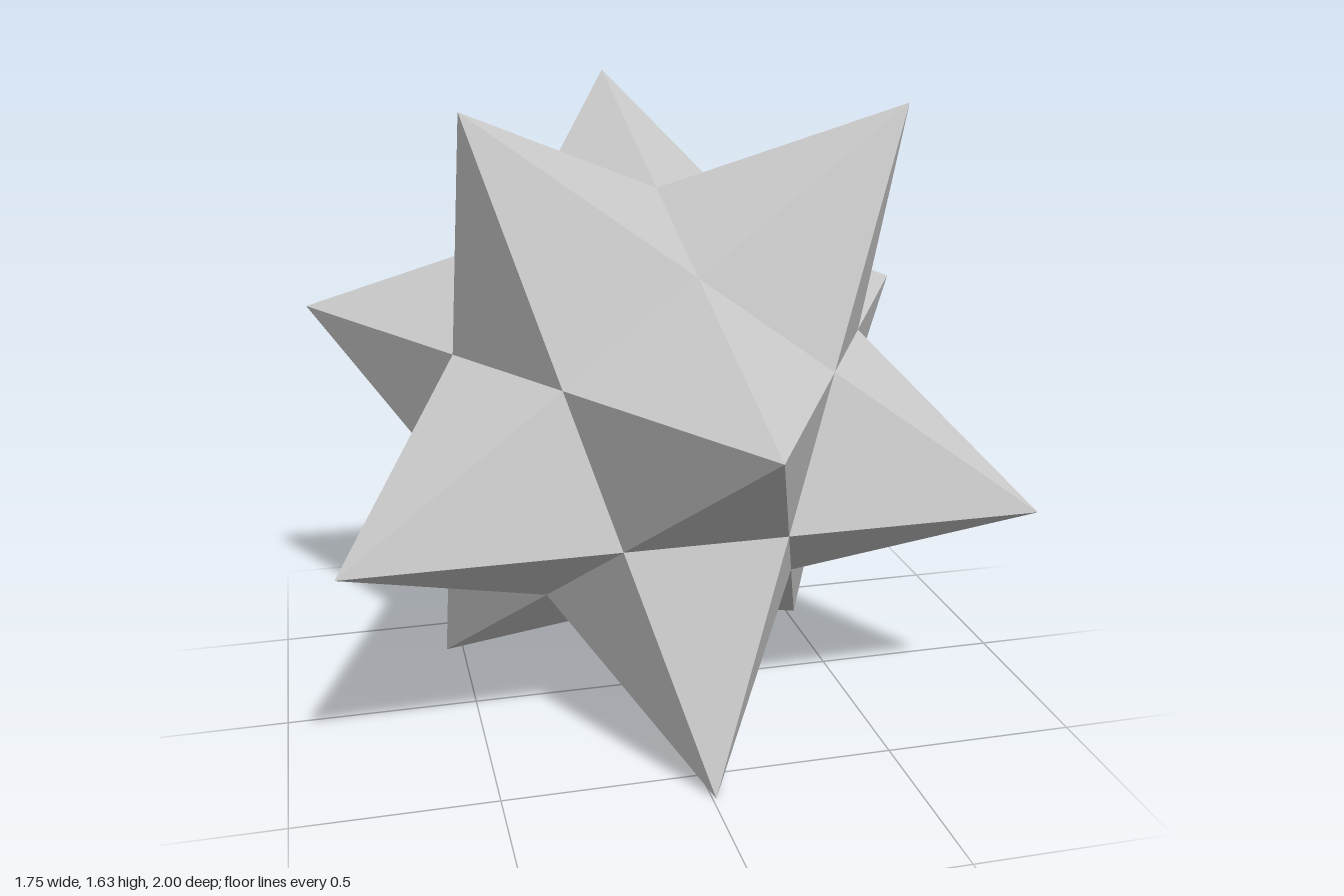
import * as THREE from 'three';

const R = 1.018;          // centre to spike tip
const CENTRE_Y = 0.815;
const PHI = (1 + Math.sqrt(5)) / 2;

// Twelve spike tips: rings of three about the vertical axis, plus their opposites
function makeTips() {
  const tips = [];
  const addRing = (height, startAngle) => {
    for (let i = 0; i < 3; i++) {
      const a = startAngle + (i * Math.PI * 2) / 3;
      const r = Math.sqrt(1 - height * height);
      const tip = new THREE.Vector3(r * Math.sin(a), height, r * Math.cos(a)).multiplyScalar(R);
      tips.push(tip, tip.clone().negate());
    }
  };
  addRing(0.79465, Math.PI);
  addRing(0.18759, 0);
  return tips;
}

// Valley point between three neighbouring tips
const valley = (a, b, c) => a.clone().add(b).add(c).multiplyScalar(PHI ** -3);

// Five-sided open pyramid: one triangle towards each neighbouring tip
function makeSpike(tip, tips, material) {
  const near = (p, q) => p !== q && p.distanceTo(q) < R * 1.2;
  const points = [];
  for (const next of tips.filter((t) => near(t, tip))) {
    const side = tip.clone().cross(next);
    const shared = tips.filter((t) => near(t, tip) && near(t, next));
    const left = shared.find((t) => side.dot(t) > 0);
    const right = shared.find((t) => side.dot(t) < 0);
    points.push(tip, valley(tip, next, right), valley(tip, next, left));
  }
  const geometry = new THREE.BufferGeometry().setFromPoints(points);
  geometry.computeVertexNormals();
  const spike = new THREE.Mesh(geometry, material);
  spike.name = 'spike';
  return spike;
}

export function createModel() {
  const model = new THREE.Group();
  model.name = 'stellatedDodecahedron';
  const material = new THREE.MeshStandardMaterial({ color: 0xcccccc, flatShading: true });

  // Star of twelve spikes, very slightly tilted
  const star = new THREE.Group();
  star.name = 'star';
  const tips = makeTips();
  for (const tip of tips) star.add(makeSpike(tip, tips, material));
  star.position.y = CENTRE_Y;
  star.rotation.set(0.009, 0.025, -0.008);
  model.add(star);
  return model;
}
